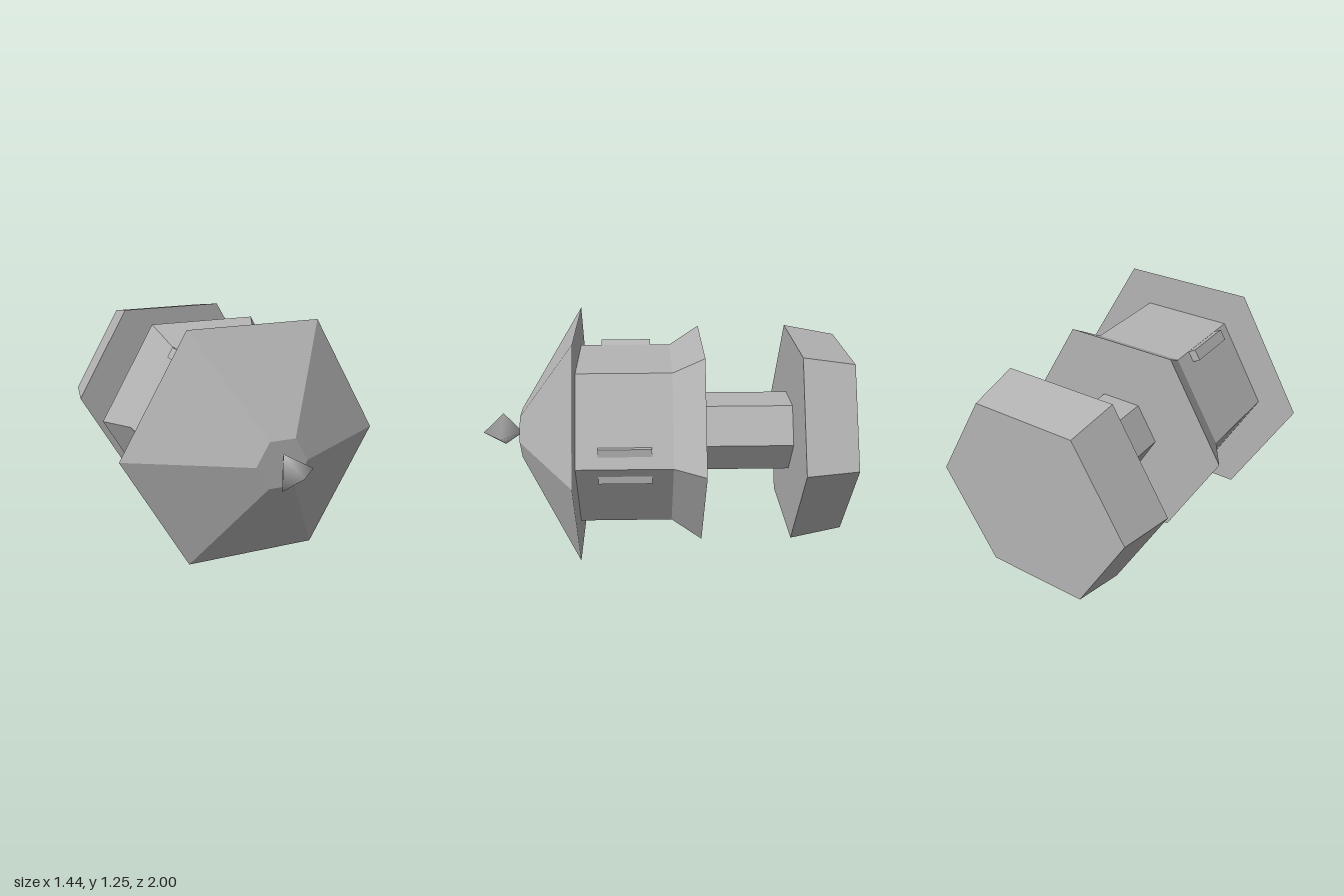
import * as THREE from 'three';

const CENTER_Y = 0.625;
const grey = new THREE.MeshStandardMaterial({ color: 0xb4b4b4 });
grey.name = 'plain grey';

// Faceted six-sided section along z, with corners on the x axis
function hexSection(name, zFront, rFront, zBack, rBack) {
  const smooth = new THREE.CylinderGeometry(rFront, rBack, zFront - zBack, 6, 1, false, Math.PI / 2);
  const geometry = smooth.toNonIndexed();
  geometry.computeVertexNormals();
  geometry.rotateX(Math.PI / 2);
  geometry.translate(0, 0, (zFront + zBack) / 2);
  const mesh = new THREE.Mesh(geometry, grey);
  mesh.name = name;
  return mesh;
}

export function createModel() {
  const model = new THREE.Group();
  model.name = 'model';
  const assembly = new THREE.Group();
  assembly.name = 'assembly';
  assembly.position.y = CENTER_Y;
  model.add(assembly);

  // Main hexagonal sections, front to back
  assembly.add(
    hexSection('noseCone', 0.78, 0.14, 0.45, 0.7217),
    hexSection('body', 0.45, 0.5, -0.055, 0.5),
    hexSection('flaredCollar', -0.055, 0.5, -0.22, 0.61),
    hexSection('neck', -0.22, 0.22, -0.72, 0.22),
    hexSection('rearBase', -0.72, 0.61, -1, 0.555)
  );

  // Smooth three-sided bead at the front tip
  const beadGeometry = new THREE.SphereGeometry(0.11, 3, 2);
  beadGeometry.rotateY(Math.PI);
  beadGeometry.rotateX(Math.PI / 2);
  const bead = new THREE.Mesh(beadGeometry, grey);
  bead.name = 'tipBead';
  bead.position.z = 0.89;
  assembly.add(bead);

  // Three bars breaking through alternate corners of the body
  const bars = new THREE.Group();
  bars.name = 'cornerBars';
  const barGeometry = new THREE.BoxGeometry(0.06, 0.195, 0.28);
  for (let i = 0; i < 3; i++) {
    const angle = (i * Math.PI * 2) / 3;
    const bar = new THREE.Mesh(barGeometry, grey);
    bar.name = 'cornerBar' + (i + 1);
    bar.position.set(0.438 * Math.cos(angle), 0.438 * Math.sin(angle), 0.195);
    bar.rotation.z = -angle;
    bars.add(bar);
  }
  assembly.add(bars);

  return model;
}
